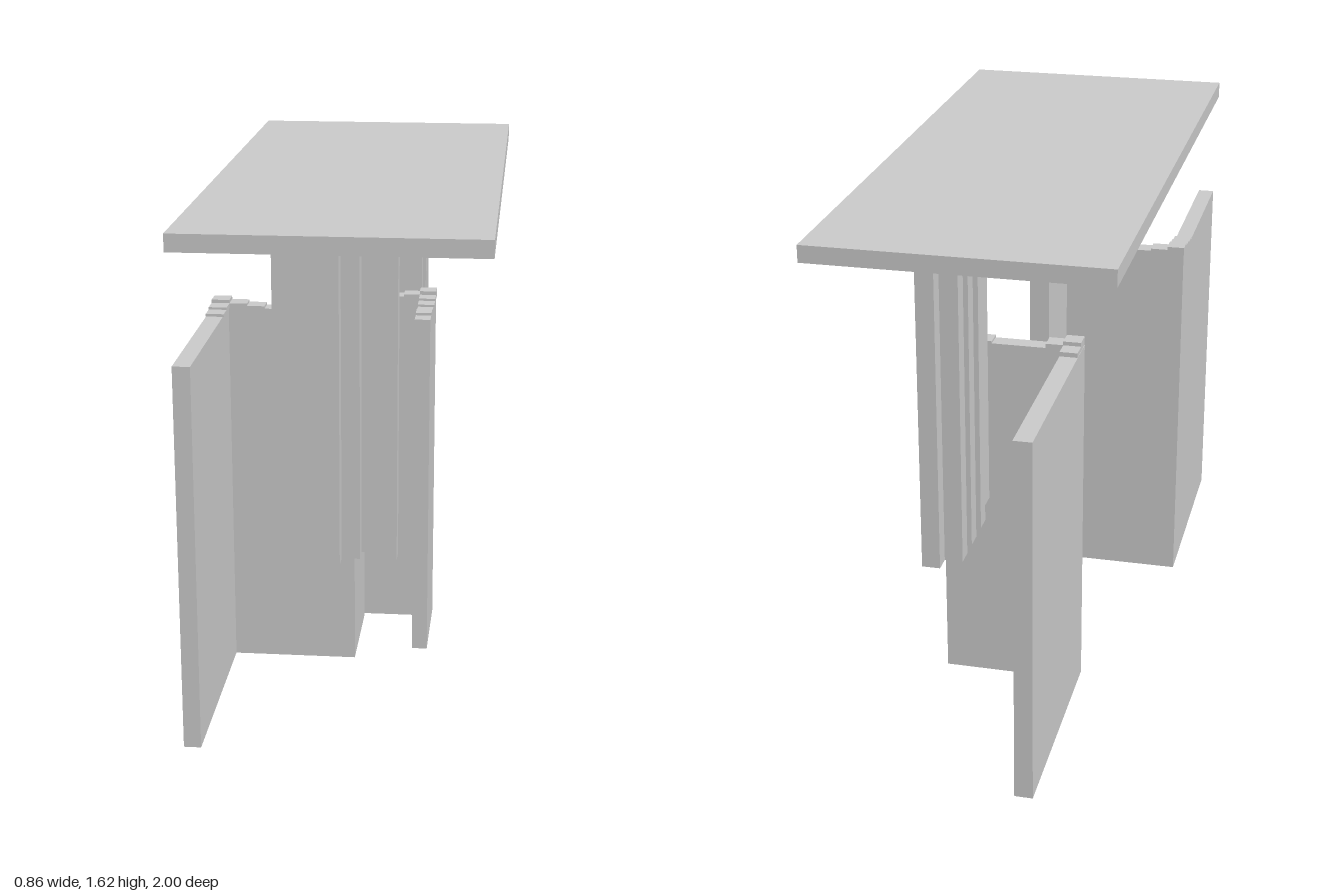
import * as THREE from 'three';

const material = new THREE.MeshStandardMaterial({ color: 0xcccccc, flatShading: true });
const CELL = 0.054;
const UNDERSIDE = 1.57;

function add(parent, name, geometry) {
  const mesh = new THREE.Mesh(geometry, material);
  mesh.name = name;
  parent.add(mesh);
  return mesh;
}

// Box given by its minimum and maximum corners
function block(parent, name, x0, x1, y0, y1, z0, z1) {
  const mesh = add(parent, name, new THREE.BoxGeometry(x1 - x0, y1 - y0, z1 - z0));
  mesh.position.set((x0 + x1) / 2, (y0 + y1) / 2, (z0 + z1) / 2);
  return mesh;
}

// Square post centred on x, z
function post(parent, name, x, z, y0, y1) {
  const h = CELL / 2;
  return block(parent, name, x - h, x + h, y0, y1, z - h, z + h);
}

// Upright folded panel extruded from a floor outline of [x, z] corners
function foldedPanel(parent, name, outline, y0, y1) {
  const shape = new THREE.Shape(outline.map(([x, z]) => new THREE.Vector2(x, -z)));
  const geometry = new THREE.ExtrudeGeometry(shape, { depth: y1 - y0, bevelEnabled: false });
  geometry.rotateX(-Math.PI / 2);
  add(parent, name, geometry).position.y = y0;
}

// Stepped cap tiles rising to a panel's fold; dx and dz point along its two walls
function foldSteps(parent, x, z, y, rises, dx, dz) {
  rises.forEach((rise, i) => {
    const t = i * 0.053;
    post(parent, 'capStep', x + dx * t, z, y, y + rise);
    if (i > 0) post(parent, 'capStep', x, z + dz * t, y, y + rise);
  });
}

export function createModel() {
  const model = new THREE.Group();

  // Table top
  block(model, 'tableTop', -0.43, 0.43, UNDERSIDE, 1.62, -0.945, 1.0);

  // Folded front panel, raised a little off the floor
  const front = new THREE.Group();
  front.name = 'frontPanel';
  model.add(front);
  foldedPanel(front, 'foldedWall', [
    [-0.43, 0.945], [-0.38, 0.945], [-0.38, 0.3], [0, 0.3],
    [0, -0.025], [-0.05, -0.025], [-0.05, 0.25], [-0.43, 0.25],
  ], 0.11, 1.245);
  foldSteps(front, -0.404, 0.276, 1.245, [0.025, 0.015, 0.008], 1, 1);
  foldSteps(front, -0.026, 0.276, 1.245, [0.025, 0.015, 0.008], -1, -1);
  block(front, 'endCap', -0.05, 0, 1.245, 1.3, -0.025, 0.03);
  block(front, 'capStep', -0.05, 0, 1.245, 1.252, 0.03, 0.08);

  // Folded back panel, standing on the floor
  const back = new THREE.Group();
  back.name = 'backPanel';
  model.add(back);
  foldedPanel(back, 'foldedWall', [
    [0.16, -0.025], [0.21, -0.025], [0.21, -0.35], [-0.165, -0.35],
    [-0.165, -1], [-0.22, -1], [-0.22, -0.3], [0.16, -0.3],
  ], 0, 1.137);
  foldSteps(back, 0.186, -0.324, 1.137, [0.026, 0.014, 0.007], -1, 1);
  foldSteps(back, -0.192, -0.324, 1.137, [0.026, 0.014], 1, -1);
  block(back, 'capStep', 0.16, 0.21, 1.137, 1.145, -0.135, -0.08);

  // Clusters of posts hanging from the table top: [x, z, bottom, top]
  const clusters = {
    frontPosts: [
      [0.132, 0.65], [0.078, 0.597], [0.025, 0.65], [-0.028, 0.703],
      [-0.082, 0.65], [-0.138, 0.597], [-0.192, 0.487],
      [-0.082, 0.487], [-0.028, 0.435, 0.65, 1.41],
    ],
    backPosts: [
      [0.132, -0.755], [0.078, -0.703], [0.132, -0.65], [0.078, -0.597],
      [0.078, -0.487], [0.132, -0.435, 0.6, 1.41], [0.078, -0.435, 0.65, UNDERSIDE],
    ],
  };
  for (const [name, cells] of Object.entries(clusters)) {
    const group = new THREE.Group();
    group.name = name;
    model.add(group);
    for (const [x, z, y0 = 0.6, y1 = UNDERSIDE] of cells) post(group, 'post', x, z, y0, y1);
  }

  // Stepped brackets fading out along the underside of the top
  const bottoms = [1.515, 1.54, 1.549, 1.558, 1.565];
  for (const [side, x] of [[1, -0.028], [-1, 0.132]]) {
    const bracket = new THREE.Group();
    bracket.name = side > 0 ? 'frontBracket' : 'backBracket';
    model.add(bracket);
    bottoms.forEach((y, i) => {
      const shift = side < 0 && i === 0 ? 0.026 : 0;
      post(bracket, 'bracketStep', x + shift, side * (0.435 - i * 0.053), y, UNDERSIDE);
    });
    post(bracket, 'bracketStep', x - 0.054, side * 0.542, 1.562, UNDERSIDE);
  }

  return model;
}
